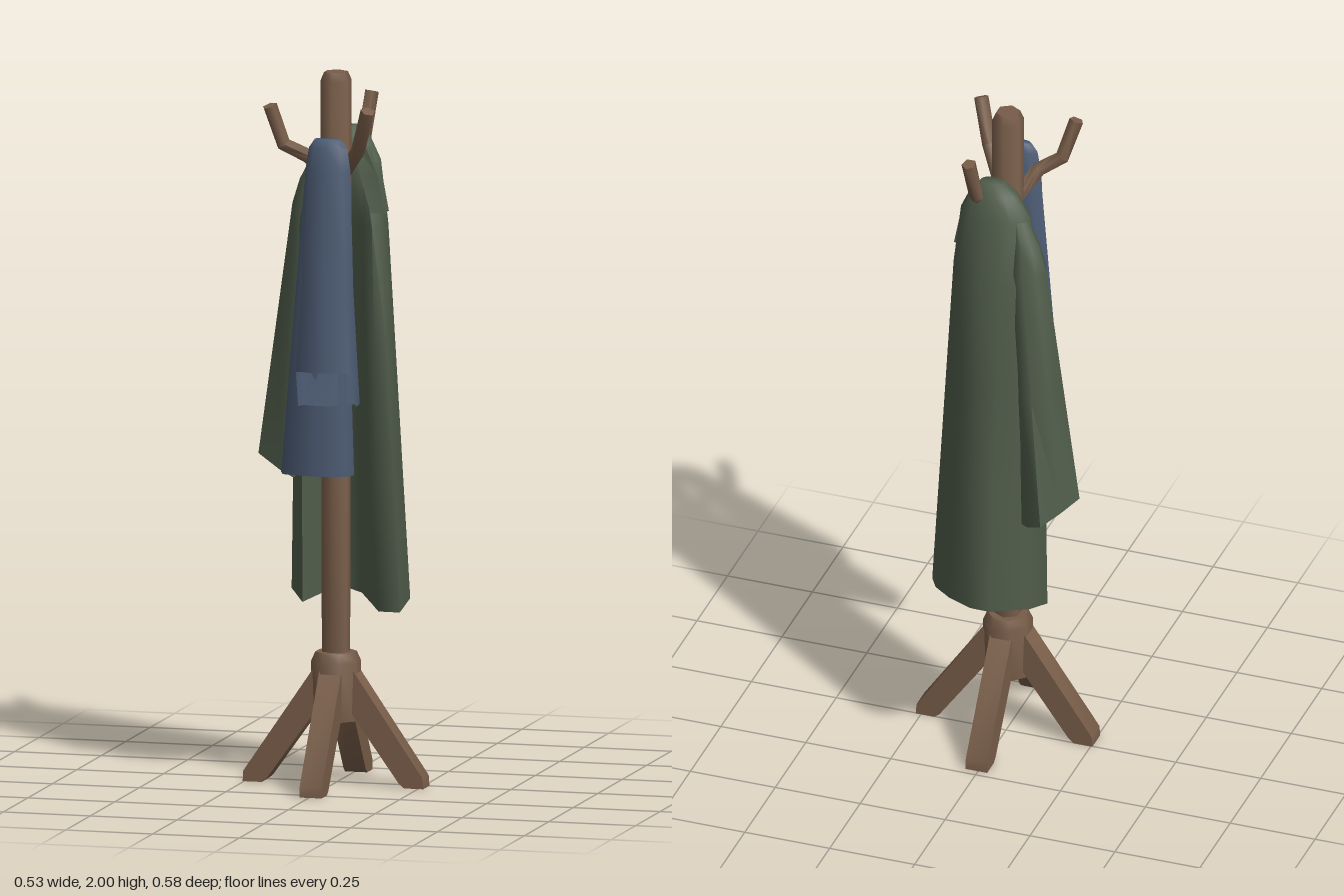
import * as THREE from 'three';
import { toCreasedNormals } from 'three/addons/utils/BufferGeometryUtils.js';

const wood = new THREE.MeshStandardMaterial({ color: 0x785d49 });
wood.name = 'brown wood';
const green = new THREE.MeshStandardMaterial({ color: 0x4f5c4a, side: THREE.DoubleSide });
green.name = 'green cloth';
const blue = new THREE.MeshStandardMaterial({ color: 0x4c5b73, side: THREE.DoubleSide });
blue.name = 'blue cloth';

const V = (x, y, z) => new THREE.Vector3(x, y, z);
const CX = 0.005, CZ = 0.03; // axis of the stand

// Skin a list of equal-length closed rings, capping the start and optionally the end
function loft(rings, capEnd) {
  const n = rings[0].length, pos = [], idx = [];
  rings.forEach(r => r.forEach(p => pos.push(p.x, p.y, p.z)));
  for (let i = 0; i < rings.length - 1; i++)
    for (let j = 0; j < n; j++) {
      const a = i * n + j, b = i * n + (j + 1) % n;
      idx.push(a, b, a + n, b, b + n, a + n);
    }
  const cap = (i, flip) => {
    const c = rings[i].reduce((s, p) => s.add(p), V(0, 0, 0)).divideScalar(n);
    const k = pos.length / 3;
    pos.push(c.x, c.y, c.z);
    for (let j = 0; j < n; j++) {
      const a = i * n + j, b = i * n + (j + 1) % n;
      if (flip) idx.push(k, b, a); else idx.push(k, a, b);
    }
  };
  cap(0, true);
  if (capEnd) cap(rings.length - 1, false);
  const g = new THREE.BufferGeometry();
  g.setAttribute('position', new THREE.Float32BufferAttribute(pos, 3));
  g.setIndex(idx);
  return toCreasedNormals(g, 1.3);
}

function add(parent, name, geometry, material) {
  const m = new THREE.Mesh(geometry, material);
  m.name = name;
  parent.add(m);
  return m;
}

// Horizontal ring from [x, z] pairs; y is a number or a rule of (x, z)
const ringAt = (pts, y) => pts.map(([x, z]) => V(x, typeof y === 'function' ? y(x, z) : y, z));
const oval = (cx, cz, rx, rz, n) => Array.from({ length: n }, (_, k) => {
  const a = k / n * Math.PI * 2;
  return [cx - rx * Math.cos(a), cz - rz * Math.sin(a)];
});
const mixRing = (a, b, t) => a.map((p, i) => p.clone().lerp(b[i], t));

// Many-sided turned post
function post(profile, sides, turn) {
  const g = new THREE.LatheGeometry(profile.map(p => new THREE.Vector2(...p)), sides);
  g.deleteAttribute('normal');
  g.rotateY(turn).translate(CX, 0, CZ);
  return toCreasedNormals(g, 1.1);
}

// Five-sided bar following a bent path
function bar(path, r) {
  const rings = path.map((p, i) => {
    const t = path[Math.min(i + 1, path.length - 1)].clone().sub(path[Math.max(i - 1, 0)]).normalize();
    const u = V(0, 1, 0).cross(t).normalize(), v = t.clone().cross(u);
    return Array.from({ length: 5 }, (_, k) => {
      const a = (k / 5) * Math.PI * 2;
      return p.clone().addScaledVector(u, r * Math.cos(a)).addScaledVector(v, r * Math.sin(a));
    });
  });
  return loft(rings, true);
}

function buildStand() {
  const stand = new THREE.Group();
  stand.name = 'stand';
  add(stand, 'pole', post([[0, 0.2], [0.04, 0.2], [0.045, 1.975], [0.034, 2], [0, 2]], 6, 0), wood);
  add(stand, 'hub', post([[0, 0.18], [0.066, 0.18], [0.07, 0.345], [0.058, 0.372], [0, 0.372]], 8, Math.PI / 8), wood);

  // Four splayed legs
  const side = new THREE.Shape([[0.26, 0], [0.258, 0.03], [0.04, 0.35], [0.02, 0.35], [0.02, 0.25], [0.19, 0.012], [0.205, 0]]
    .map(p => new THREE.Vector2(...p)));
  const leg = toCreasedNormals(
    new THREE.ExtrudeGeometry(side, { depth: 0.064, bevelEnabled: false }).translate(0, 0, -0.032), 1.1);
  for (let i = 0; i < 4; i++) {
    const m = add(stand, 'leg', leg, wood);
    m.position.set(CX, 0, CZ);
    m.rotation.y = i * Math.PI / 2;
  }

  // Three bent coat hooks
  [
    [V(0.02, 1.69, 0.05), V(0.06, 1.745, 0.1), V(0.105, 1.8, 0.155), V(0.145, 1.92, 0.2)],
    [V(-0.01, 1.71, 0.06), V(-0.055, 1.775, 0.115), V(-0.115, 1.81, 0.145), V(-0.146, 1.92, 0.173)],
    [V(0.01, 1.72, 0.01), V(0.025, 1.76, -0.05), V(0.045, 1.8, -0.115), V(0.057, 1.92, -0.146)],
  ].forEach(path => add(stand, 'hook', bar(path, 0.021), wood));
  return stand;
}

function buildCoat() {
  const coat = new THREE.Group();
  coat.name = 'greenCoat';
  const shoulder = ringAt([[-0.15, -0.115], [-0.12, -0.165], [-0.05, -0.188], [0.01, -0.188], [0.06, -0.165],
    [0.1, -0.13], [0.122, -0.09], [0.122, -0.015], [0.1, 0], [0.065, -0.03], [0.03, -0.06], [-0.03, -0.07],
    [-0.07, -0.06], [-0.12, -0.06]], 1.56);
  // The hem curls round the pole and rises towards the back
  const hem = ringAt([[-0.165, -0.12], [-0.14, -0.2], [-0.055, -0.288], [0.005, -0.285], [0.085, -0.23],
    [0.15, -0.16], [0.185, -0.09], [0.192, 0.042], [0.13, 0.04], [0.09, -0.04], [0.04, -0.11], [-0.03, -0.15],
    [-0.07, -0.1], [-0.11, -0.035]], (x, z) => 0.49 + 0.28 * Math.max(0, -z - 0.02));
  const body = [
    ringAt(oval(0.01, -0.075, 0.035, 0.02, 14), 1.835),
    ringAt(oval(0.005, -0.08, 0.068, 0.04, 14), 1.805),
    ringAt(oval(0, -0.085, 0.102, 0.06, 14), 1.74),
    ...[0, 0.3, 0.65, 1].map(t => mixRing(shoulder, hem, t)),
  ];
  add(coat, 'coatBody', loft(body, false), green);

  // Front lapel folded over on the model's left
  add(coat, 'coatLapel', loft([
    ringAt([[0.04, -0.045], [0.06, -0.075], [0.08, -0.07], [0.07, -0.04]], 1.78),
    ringAt([[0.06, -0.02], [0.075, -0.075], [0.11, -0.07], [0.11, -0.025]], 1.7),
    ringAt([[0.095, -0.005], [0.1, -0.06], [0.132, -0.06], [0.132, -0.012]], 1.6),
  ], true), green);

  // Sleeve hanging on the model's right, its cuff slanting down inwards
  const cuff = ringAt([[-0.265, -0.135], [-0.235, -0.2], [-0.195, -0.263], [-0.15, -0.24], [-0.115, -0.2],
    [-0.13, -0.14], [-0.155, -0.09], [-0.19, -0.092]], x => 0.89 - 0.5 * (x + 0.265));
  const upper = ringAt(oval(-0.112, -0.125, 0.052, 0.055, 8), 1.6);
  add(coat, 'coatSleeve', loft([
    ringAt(oval(-0.075, -0.1, 0.025, 0.025, 8), 1.74),
    ringAt(oval(-0.1, -0.115, 0.04, 0.04, 8), 1.67),
    upper, mixRing(upper, cuff, 0.5), cuff,
  ], false), green);
  return coat;
}

function buildJacket() {
  const jacket = new THREE.Group();
  jacket.name = 'blueJacket';
  // Front part: hem short in front, showing the longer lining behind it
  const hem = ringAt([[-0.055, 0.205], [-0.045, 0.185], [0.03, 0.192], [0.1, 0.125], [0.105, 0.18], [0.095, 0.22],
    [0.02, 0.24], [-0.055, 0.228]], (x, z) => z > 0.21 ? 1.185 : 1.085);
  const top = ringAt(oval(0.017, 0.155, 0.065, 0.034, 8), 1.74);
  add(jacket, 'jacketFront', loft([
    ringAt(oval(0.017, 0.152, 0.038, 0.014, 8), 1.83),
    ringAt(oval(0.017, 0.153, 0.055, 0.025, 8), 1.805),
    top, mixRing(top, hem, 0.5), hem,
  ], false), blue);

  // Longer part hanging behind
  const tail = ringAt([[-0.125, 0.13], [-0.115, 0.095], [-0.02, 0.092], [0.07, 0.1], [0.085, 0.13], [0.07, 0.17],
    [-0.02, 0.186], [-0.11, 0.165]], 0.885);
  const back = ringAt(oval(0.005, 0.14, 0.06, 0.03, 8), 1.7);
  add(jacket, 'jacketBack', loft([
    ringAt(oval(0.01, 0.145, 0.04, 0.018, 8), 1.8),
    back, mixRing(back, tail, 0.55), tail,
  ], false), blue);
  return jacket;
}

export function createModel() {
  const model = new THREE.Group();
  model.name = 'coatStand';
  model.add(buildStand(), buildCoat(), buildJacket());
  return model;
}
